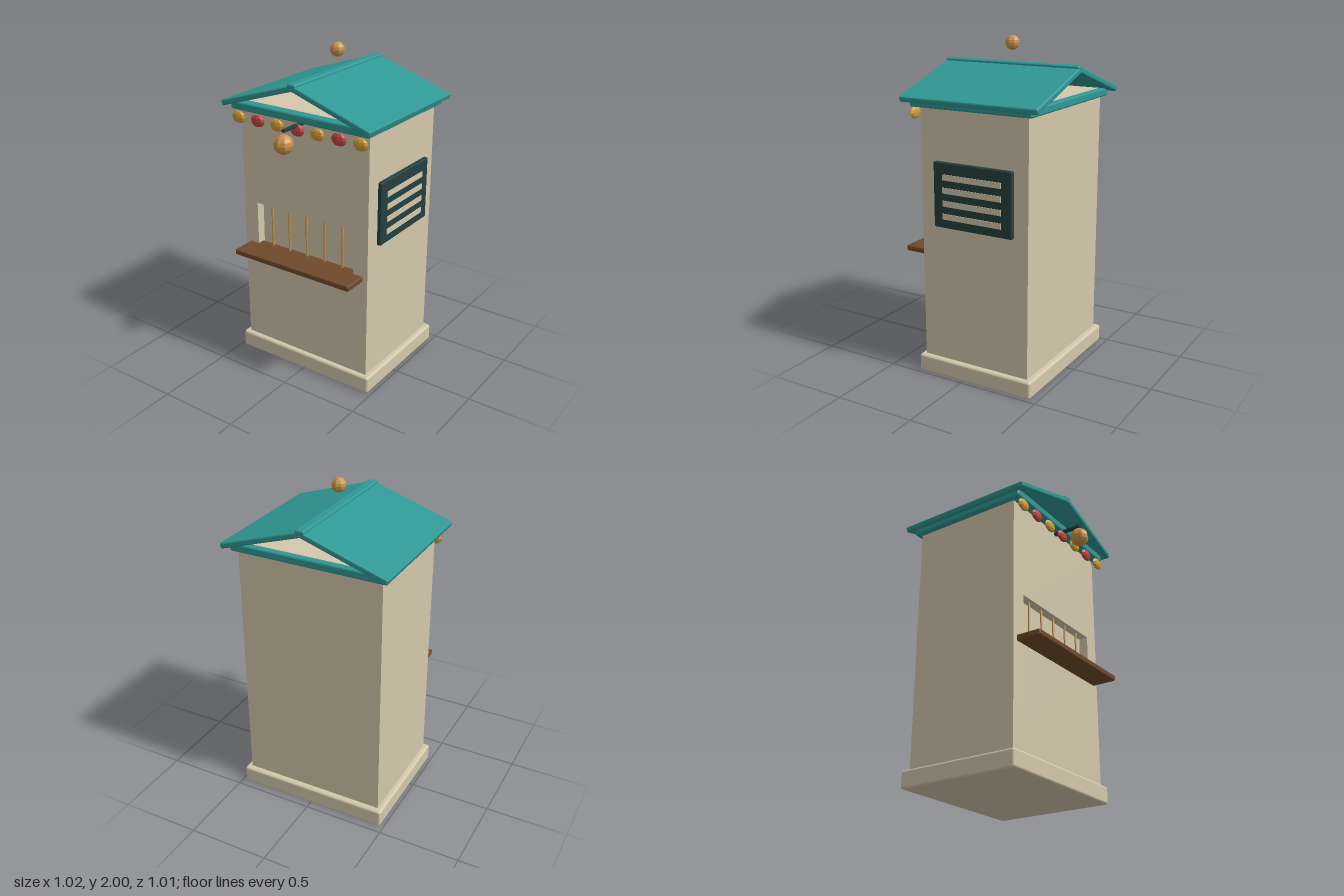
import * as THREE from 'three';
import { RoundedBoxGeometry } from 'three/addons/geometries/RoundedBoxGeometry.js';

const mat = (name, color, flatShading = false) => {
  const m = new THREE.MeshStandardMaterial({ color, flatShading });
  m.name = name;
  return m;
};

export function createModel() {
  const group = new THREE.Group();
  group.name = 'kiosk';
  const cream = mat('cream plaster', 0xd4c7ab);
  const teal = mat('teal roof', 0x2f9894);
  const dark = mat('dark shutter', 0x24403f);
  const wood = mat('brown wood', 0x6f4a2b);
  const brass = mat('brass', 0xc7934a, true);
  const gold = mat('gold bulb', 0xd29c36, true);
  const red = mat('red bulb', 0xc0463c, true);

  const add = (name, geo, material, x = 0, y = 0, z = 0) => {
    const m = new THREE.Mesh(geo, material);
    m.name = name;
    m.position.set(x, y, z);
    group.add(m);
    return m;
  };
  // Box given by its lower and upper corners, with softened edges
  const box = (name, material, [x0, y0, z0], [x1, y1, z1], r = 0.008) =>
    add(name, new RoundedBoxGeometry(x1 - x0, y1 - y0, z1 - z0, 2, r), material,
      (x0 + x1) / 2, (y0 + y1) / 2, (z0 + z1) / 2);

  // Plinth and booth
  box('plinth', cream, [-0.48, 0, -0.455], [0.48, 0.107, 0.31], 0.015);
  add('booth', new THREE.BoxGeometry(0.894, 1.566, 0.644), cream, 0, 0.888, -0.098);

  // Front wall with the serving window cut out
  const wall = new THREE.Shape();
  wall.moveTo(-0.447, 0.105).lineTo(0.447, 0.105).lineTo(0.447, 1.671).lineTo(-0.447, 1.671);
  const hole = new THREE.Path();
  hole.moveTo(-0.35, 0.75).lineTo(-0.35, 1.035).lineTo(0.35, 1.035).lineTo(0.35, 0.75);
  wall.holes.push(hole);
  add('frontWall', new THREE.ExtrudeGeometry(wall, { depth: 0.056, bevelEnabled: false }), cream, 0, 0, 0.224);

  // Window bars and counter
  for (let i = -2; i <= 2; i++) {
    add('windowBar', new THREE.CylinderGeometry(0.007, 0.007, 0.29, 6), brass, i * 0.128, 0.893, 0.253);
  }
  box('counter', wood, [-0.415, 0.73, 0.23], [0.415, 0.765, 0.43]);

  // Louvred shutter on the left side
  box('shutter', dark, [0.44, 0.935, -0.33], [0.471, 1.32, 0.185]);
  for (let i = 0; i < 4; i++) {
    add('shutterSlat', new THREE.BoxGeometry(0.012, 0.034, 0.386), cream, 0.469, 1.235 - i * 0.077, -0.07);
  }

  // Eave band, pitched roof and ridge cap
  box('eaveBand', teal, [-0.48, 1.62, -0.455], [0.48, 1.67, 0.335], 0.012);
  for (const s of [-1, 1]) {
    const panel = add('roofPanel', new RoundedBoxGeometry(0.535, 0.035, 0.89, 2, 0.01), teal, s * 0.2546, 1.744, -0.06);
    panel.rotation.z = -s * 0.314;
  }
  box('ridgeCap', teal, [-0.03, 1.815, -0.505], [0.03, 1.852, 0.385], 0.012);

  // Row of bulbs under the front eave
  for (let i = -3; i <= 3; i++) {
    const bulb = add('bulb', new THREE.SphereGeometry(1, 8, 6), i % 2 ? gold : red, i * 0.141, 1.58, 0.333);
    bulb.scale.set(0.05, 0.037, 0.019);
  }

  // Hanging lantern on its bracket, and the finial
  add('lanternBracket', new THREE.BoxGeometry(0.02, 0.016, 0.18), dark, 0, 1.607, 0.365);
  add('lantern', new THREE.SphereGeometry(0.057, 8, 8), brass, 0, 1.53, 0.453);
  add('finial', new THREE.SphereGeometry(0.043, 8, 8), brass, 0, 1.959, -0.06);

  return group;
}
